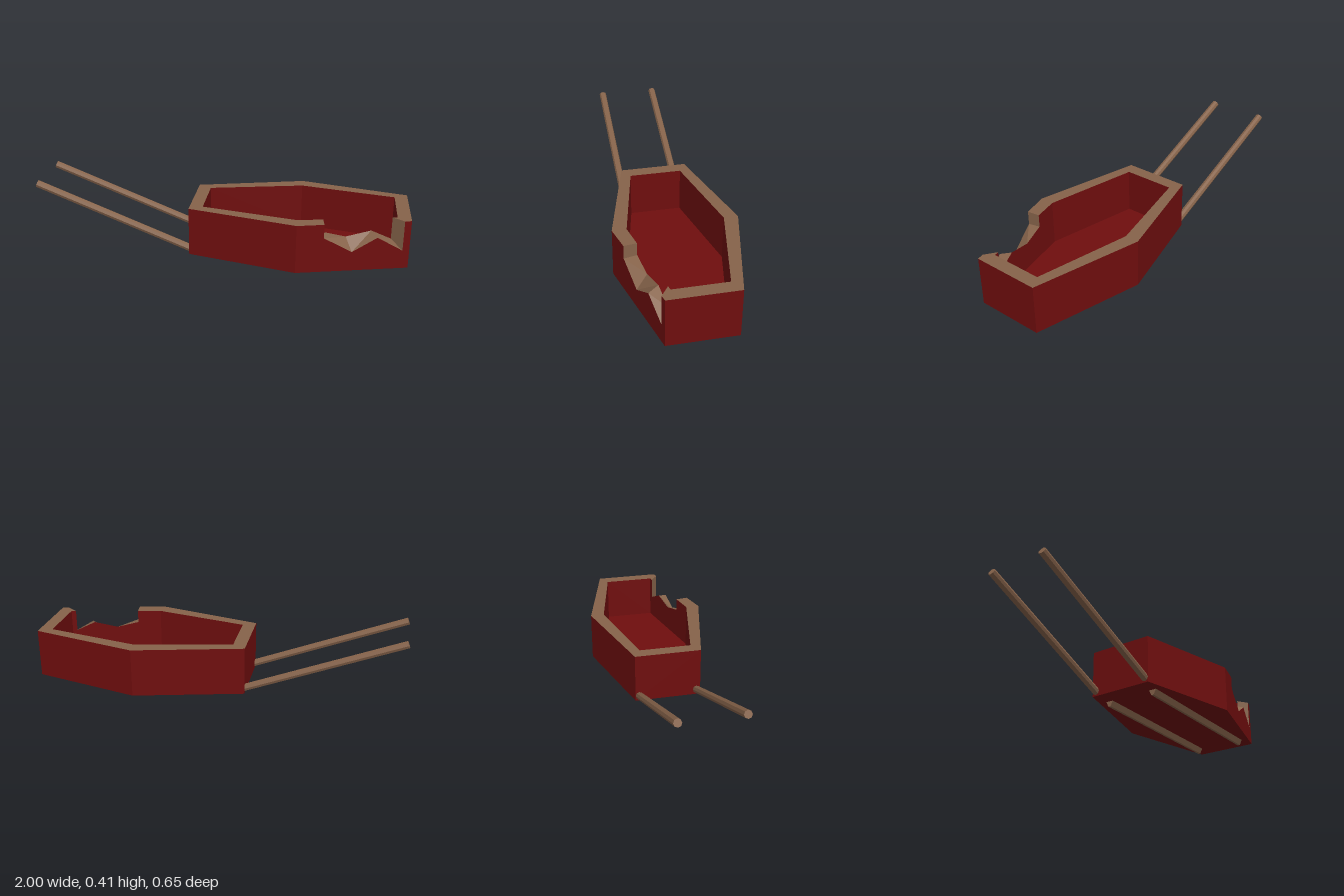
import * as THREE from 'three';

const BOTTOM = 0.03, FLOOR = 0.05, TOP = 0.295;

// Hexagonal plan, counterclockwise seen from above: [x, z]
const OUTER = [[-0.16, 0.18], [0.42, 0.325], [1, 0.18], [1, -0.18], [0.42, -0.325], [-0.16, -0.18]];
const INNER = [[-0.09, 0.14], [0.42, 0.25], [0.93, 0.14], [0.93, -0.14], [0.42, -0.25], [-0.09, -0.14]];

// Wall top outlines: [along outer, y outer, along inner, y inner]
const INTACT = [[0, TOP, 0, TOP], [1, TOP, 1, TOP]];
const BROKEN = [
  [0, TOP, 0, TOP], [0.24, TOP, 0.255, TOP], [0.24, 0.22, 0.255, 0.225],
  [0.49, 0.135, 0.49, 0.195], [0.71, 0.21, 0.745, 0.225], [0.94, 0.13, 0.95, 0.175],
  [0.94, TOP, 0.95, TOP], [1, TOP, 1, TOP],
];

function flatGeometry(points) {
  const g = new THREE.BufferGeometry().setFromPoints(points);
  g.computeVertexNormals();
  return g;
}

// Point on a wall between plan corners a and b
const onWall = (a, b, t, y) =>
  new THREE.Vector3(a[0] + (b[0] - a[0]) * t, y, a[1] + (b[1] - a[1]) * t);

// One painted side of a wall, filled below its top outline
function wallFace(a, b, base, outline, inward) {
  const contour = [[0, base], [1, base], ...outline.slice().reverse()]
    .map(([t, y]) => new THREE.Vector2(t, y));
  const points = [];
  for (const tri of THREE.ShapeUtils.triangulateShape(contour, [])) {
    if (inward) tri.reverse();
    for (const i of tri) points.push(onWall(a, b, contour[i].x, contour[i].y));
  }
  return flatGeometry(points);
}

// Bare wood between the outer and inner outlines
function wallRim(i, j, top) {
  const points = [];
  for (let k = 0; k + 1 < top.length; k++) {
    const [p, q] = [top[k], top[k + 1]];
    const P = onWall(OUTER[i], OUTER[j], p[0], p[1]), Q = onWall(OUTER[i], OUTER[j], q[0], q[1]);
    const r = onWall(INNER[i], INNER[j], q[2], q[3]), s = onWall(INNER[i], INNER[j], p[2], p[3]);
    points.push(P, Q, r, P, r, s);
  }
  return flatGeometry(points);
}

// Horizontal hexagonal plate
function plate(plan, y, down) {
  const v = plan.map(([x, z]) => new THREE.Vector3(x, y, z));
  const points = [];
  for (let k = 1; k + 1 < v.length; k++)
    points.push(v[0], ...(down ? [v[k + 1], v[k]] : [v[k], v[k + 1]]));
  return flatGeometry(points);
}

export function createModel() {
  const red = new THREE.MeshStandardMaterial({ name: 'dark red paint', color: 0x6f0e0e });
  const wood = new THREE.MeshStandardMaterial({ name: 'bare wood', color: 0x86634a });
  const poleWood = wood.clone();
  poleWood.flatShading = true;

  const model = new THREE.Group();
  model.name = 'sledge';
  const add = (name, geometry, material, parent = model) => {
    const mesh = new THREE.Mesh(geometry, material);
    mesh.name = name;
    parent.add(mesh);
    return mesh;
  };

  // Tub: six walls, one of them smashed in
  const tub = new THREE.Group();
  tub.name = 'tub';
  model.add(tub);
  for (let i = 0; i < 6; i++) {
    const j = (i + 1) % 6;
    const top = i === 1 ? BROKEN : INTACT;
    const label = i === 1 ? 'brokenWall' : 'wall' + i;
    add(label + 'Outside', wallFace(OUTER[i], OUTER[j], BOTTOM, top.map(p => [p[0], p[1]]), false), red, tub);
    add(label + 'Inside', wallFace(INNER[i], INNER[j], FLOOR, top.map(p => [p[2], p[3]]), true), red, tub);
    add(label + 'Rim', wallRim(i, j, top), wood, tub);
  }
  add('floor', plate(INNER, FLOOR, false), red, tub);
  add('underside', plate(OUTER, BOTTOM, true), red, tub);

  // Tapered runner section, extruded along x
  const section = new THREE.Shape([[-0.007, 0], [0.007, 0], [0.022, BOTTOM], [-0.022, BOTTOM]]
    .map(p => new THREE.Vector2(...p)));
  const runner = new THREE.ExtrudeGeometry(section, { depth: 0.96, bevelEnabled: false });
  runner.rotateY(Math.PI / 2);

  // Eight-sided pulling pole, sloping up from the tub
  const low = new THREE.Vector3(-0.15, 0.055, 0), high = new THREE.Vector3(-0.992, 0.386, 0);
  const dir = high.clone().sub(low);
  const pole = new THREE.CylinderGeometry(0.0205, 0.0205, dir.length(), 8);
  pole.applyQuaternion(new THREE.Quaternion().setFromUnitVectors(new THREE.Vector3(0, 1, 0), dir.normalize()));

  for (const [side, s] of [['front', 1], ['back', -1]]) {
    add(side + 'Runner', runner, wood).position.set(-0.06, 0, s * 0.141);
    add(side + 'Pole', pole, poleWood).position.copy(low).add(high).multiplyScalar(0.5).setZ(s * 0.159);
  }
  return model;
}
